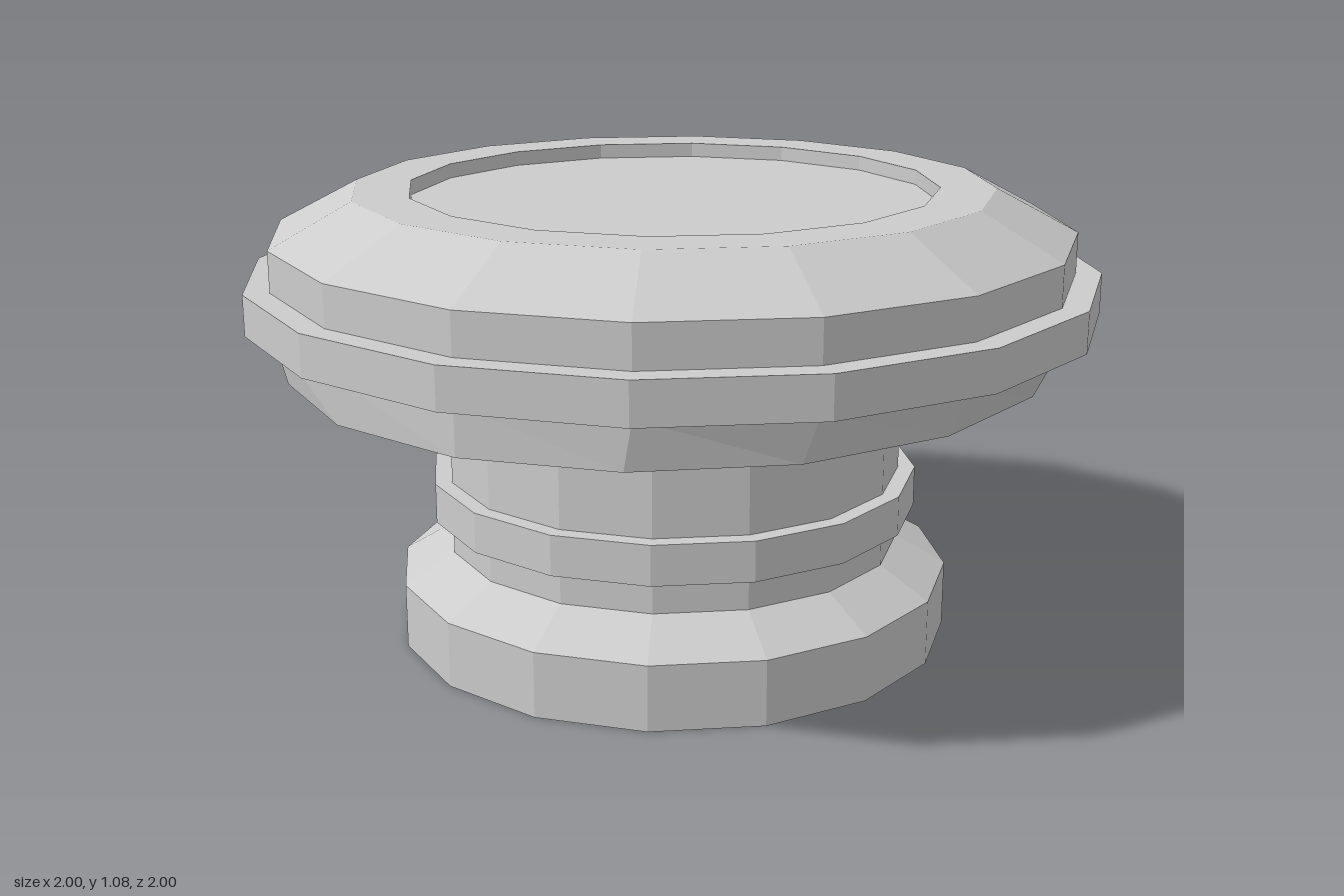
import * as THREE from 'three';

const SIDES = 16;

export function createModel() {
  const group = new THREE.Group();
  group.name = 'knob';
  const grey = new THREE.MeshStandardMaterial({ color: 0xcccccc, flatShading: true });
  grey.name = 'plain grey';

  // Faceted turned part; profile is [radius, height] from bottom to top
  function turned(name, profile) {
    const points = profile.map(([r, y]) => new THREE.Vector2(r, y));
    const mesh = new THREE.Mesh(new THREE.LatheGeometry(points, SIDES), grey);
    mesh.name = name;
    group.add(mesh);
    return mesh;
  }

  // Foot with a sloped shoulder
  turned('base', [[0, 0], [0.665, 0], [0.665, 0.155], [0.545, 0.225]]);

  // Narrow stem and its collar
  turned('neck', [[0.545, 0.225], [0.545, 0.57]]);
  turned('neckRing', [[0.54, 0.305], [0.585, 0.305], [0.585, 0.4], [0.54, 0.4]]);

  // Wide head: flared underside, side wall, chamfer and shallow recess on top
  const head = turned('head', [
    [0.545, 0.57], [0.94, 0.68], [0.94, 0.79], [0.94, 0.98],
    [0.75, 1.08], [0.62, 1.08], [0.62, 1.045], [0, 1.045],
  ]);
  // The lower edge of the head is slightly narrower from side to side
  const pos = head.geometry.attributes.position;
  for (let i = 0; i < pos.count; i++) {
    if (Math.abs(pos.getY(i) - 0.68) < 0.001) pos.setX(i, pos.getX(i) * 0.943);
  }
  head.geometry.computeVertexNormals();

  // Band around the head
  turned('headRing', [[0.92, 0.79], [1, 0.79], [1, 0.885], [0.92, 0.885]]);

  return group;
}
